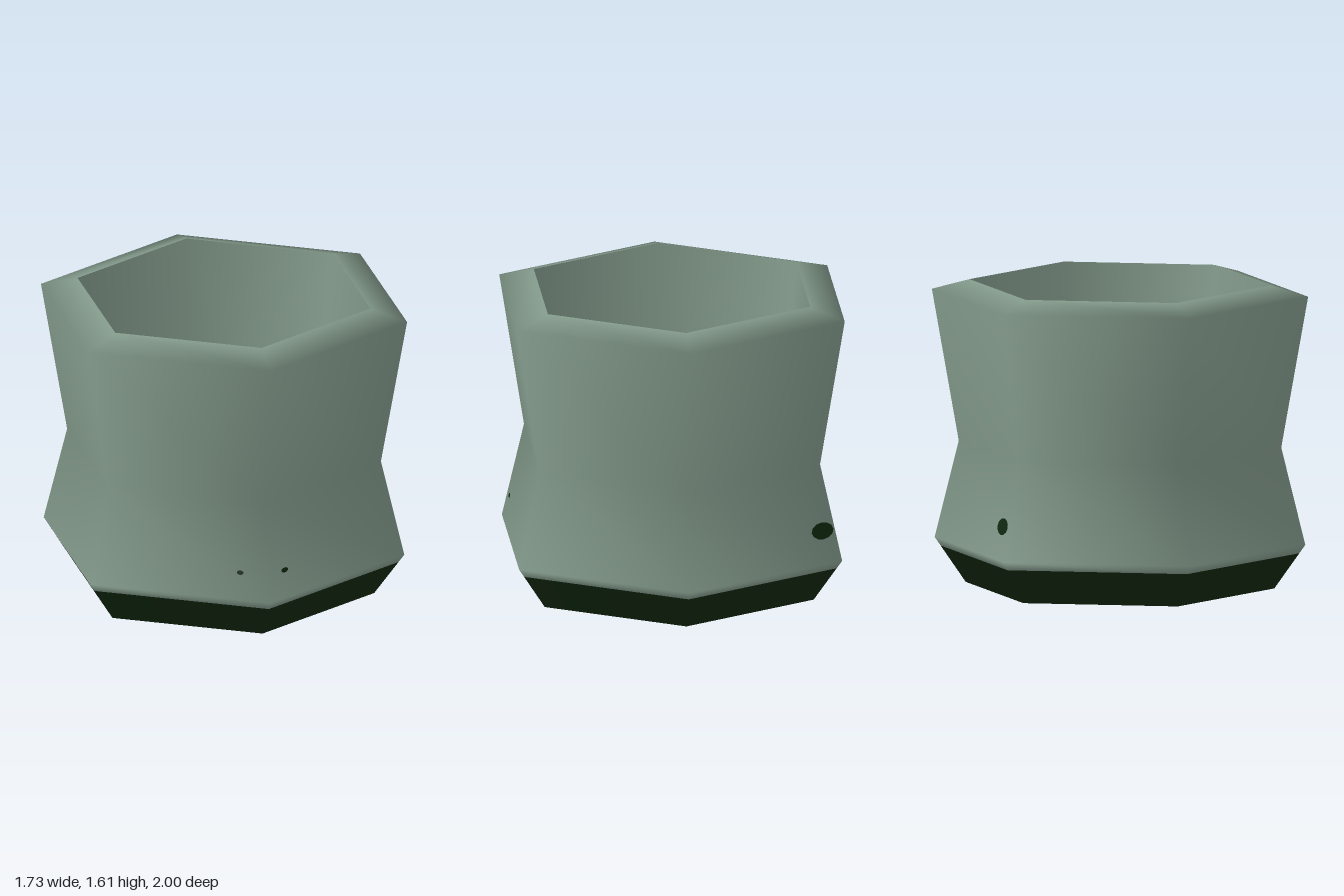
import * as THREE from 'three';

const glaze = new THREE.MeshStandardMaterial({ color: 0x82998a });
glaze.name = 'sage glaze';
const dark = new THREE.MeshStandardMaterial({ color: 0x11280f });
dark.name = 'dark green';
const clay = new THREE.MeshStandardMaterial({ color: 0x6e553a });
clay.name = 'brown clay';

// Six-sided revolved band; profile is [corner radius, height] pairs
function hexBand(name, profile, material) {
  const points = profile.map(([r, y]) => new THREE.Vector2(r, y));
  const mesh = new THREE.Mesh(new THREE.LatheGeometry(points, 6), material);
  mesh.name = name;
  return mesh;
}

// Thin dark fleck on an outer face: face angle, offset along the face, height, half sizes
function fleck(angle, along, y, w, h) {
  const apothem = (0.985 - 0.249 * (y - 0.235)) * Math.cos(Math.PI / 6);
  const mesh = new THREE.Mesh(new THREE.CircleGeometry(1, 12), dark);
  mesh.scale.set(w, h, 1);
  mesh.position.set(along, y, apothem + 0.004);
  mesh.rotation.x = -0.212;
  const group = new THREE.Group();
  group.name = 'glazeFleck';
  group.rotation.y = THREE.MathUtils.degToRad(angle);
  group.add(mesh);
  return group;
}

export function createModel() {
  const pot = new THREE.Group();
  pot.name = 'hexagonalPot';

  // Waisted outer wall with sloping rim
  pot.add(hexBand('outerWall', [[0.953, 0.19], [0.985, 0.235], [0.857, 0.75], [1, 1.555], [0.8, 1.61]], glaze));
  // Inside wall, tapering down to the floor
  pot.add(hexBand('innerWall', [[0.8, 1.61], [0.635, 0.2]], glaze));
  pot.add(hexBand('innerFloor', [[0.635, 0.2], [0.62, 0.17], [0, 0.17]], dark));
  // Chamfered foot and bare underside
  pot.add(hexBand('foot', [[0.82, 0], [0.953, 0.19]], dark));
  pot.add(hexBand('underside', [[0, 0.015], [0.79, 0.015], [0.82, 0]], clay));

  // Flecks in the glaze
  pot.add(fleck(210, 0.39, 0.41, 0.07, 0.045));
  pot.add(fleck(30, 0.32, 0.38, 0.018, 0.012));
  pot.add(fleck(90, -0.36, 0.38, 0.025, 0.013));

  return pot;
}
